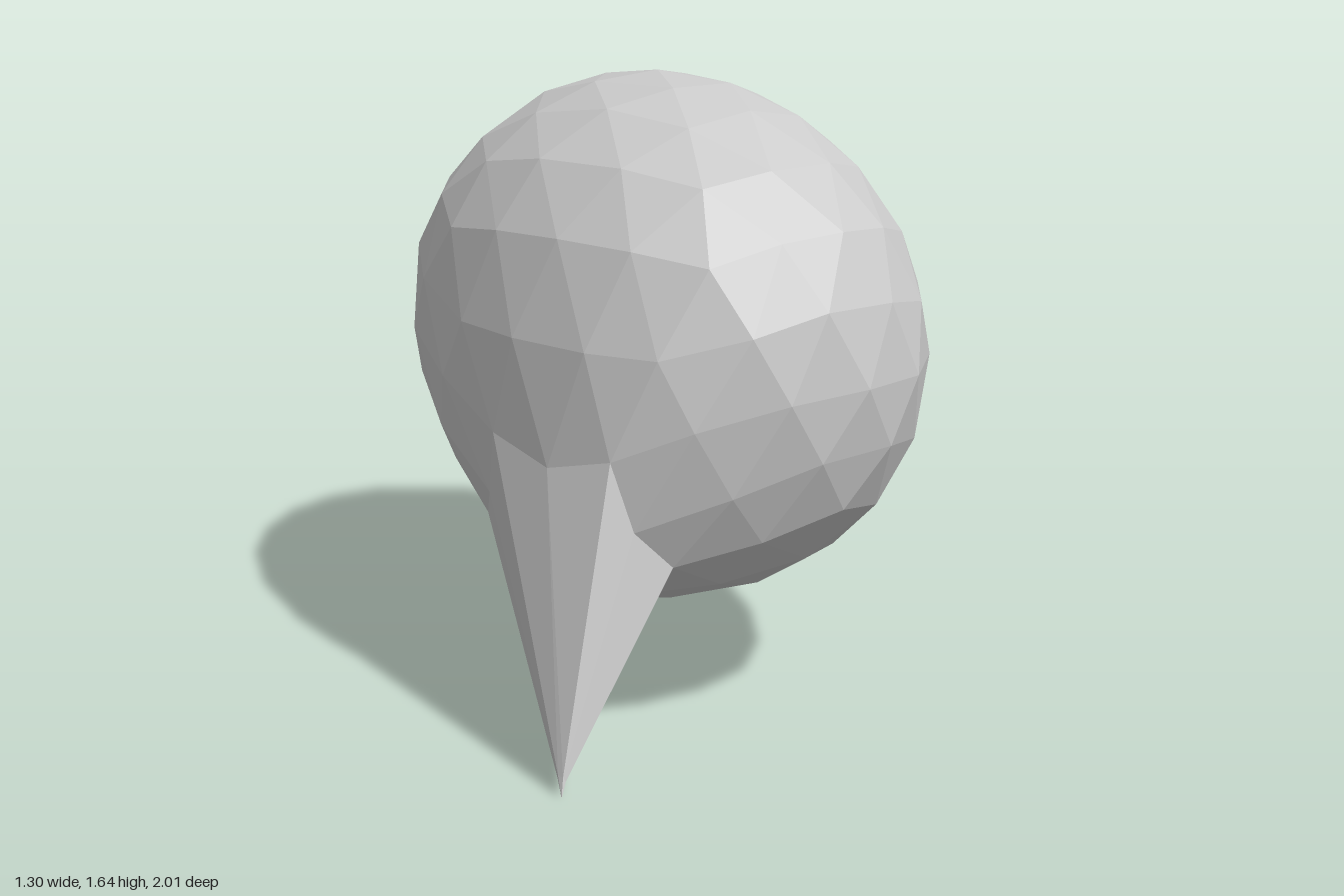
import * as THREE from 'three';

// Icosahedron standing on a vertex, each triangle halved repeatedly into a unit sphere
function unitIcosphere(steps) {
  const verts = [0, 1, 0, 0, -1, 0];
  const h = 1 / Math.sqrt(5), r = 2 * h;
  for (const [start, y] of [[Math.PI, h], [0, -h]]) {
    for (let k = 0; k < 5; k++) {
      const a = start + k * Math.PI * 0.4;
      verts.push(r * Math.cos(a), y, r * Math.sin(a));
    }
  }
  const up = k => 2 + k % 5, low = k => 7 + k % 5;
  const faces = [];
  for (let k = 0; k < 5; k++) {
    faces.push(0, up(k + 1), up(k));
    faces.push(up(k), up(k + 1), low(k + 3));
    faces.push(up(k + 1), low(k + 4), low(k + 3));
    faces.push(1, low(k), low(k + 1));
  }
  let geo = new THREE.PolyhedronGeometry(verts, faces, 1, 1);
  for (let i = 1; i < steps; i++) {
    const pos = Array.from(geo.attributes.position.array);
    geo = new THREE.PolyhedronGeometry(pos, pos.map((_, n) => n).slice(0, pos.length / 3), 1, 1);
  }
  return geo;
}

export function createModel() {
  const group = new THREE.Group();
  group.name = 'speechBalloon';

  const geo = unitIcosphere(2);
  const pos = geo.attributes.position;
  const root = new THREE.Vector3(-0.7236, -0.4472, 0.5257).normalize();
  const tip = new THREE.Vector3(-0.59, 0, 0.99);
  const pinch = new THREE.Vector3(-0.5, 0.28, 0.75);
  const n = new THREE.Vector3(), p = new THREE.Vector3();

  for (let i = 0; i < pos.count; i++) {
    n.fromBufferAttribute(pos, i).normalize();
    // Egg-long body, slightly flattened at the front
    p.set(n.x * 0.66, 0.937 + n.y * 0.707, 0.04 + n.z * 1.04);
    p.z -= 0.06 * Math.max(0, (n.z - 0.8) / 0.2);

    const angle = THREE.MathUtils.radToDeg(n.angleTo(root));
    if (angle < 22) {
      // Pointed tail drawn out of the lower front corner
      p.lerp(tip, angle < 3 ? 1 : 0.94);
    } else {
      // Body around the tail narrows towards it
      p.lerp(pinch, 0.23 * Math.max(0, (72 - angle) / 39) ** 2);
    }
    pos.setXYZ(i, p.x, p.y, p.z);
  }
  geo.deleteAttribute('uv');
  geo.computeVertexNormals();

  const balloon = new THREE.Mesh(
    geo,
    new THREE.MeshStandardMaterial({ color: 0xcccccc, flatShading: true })
  );
  balloon.name = 'balloonWithTail';
  group.add(balloon);
  return group;
}
